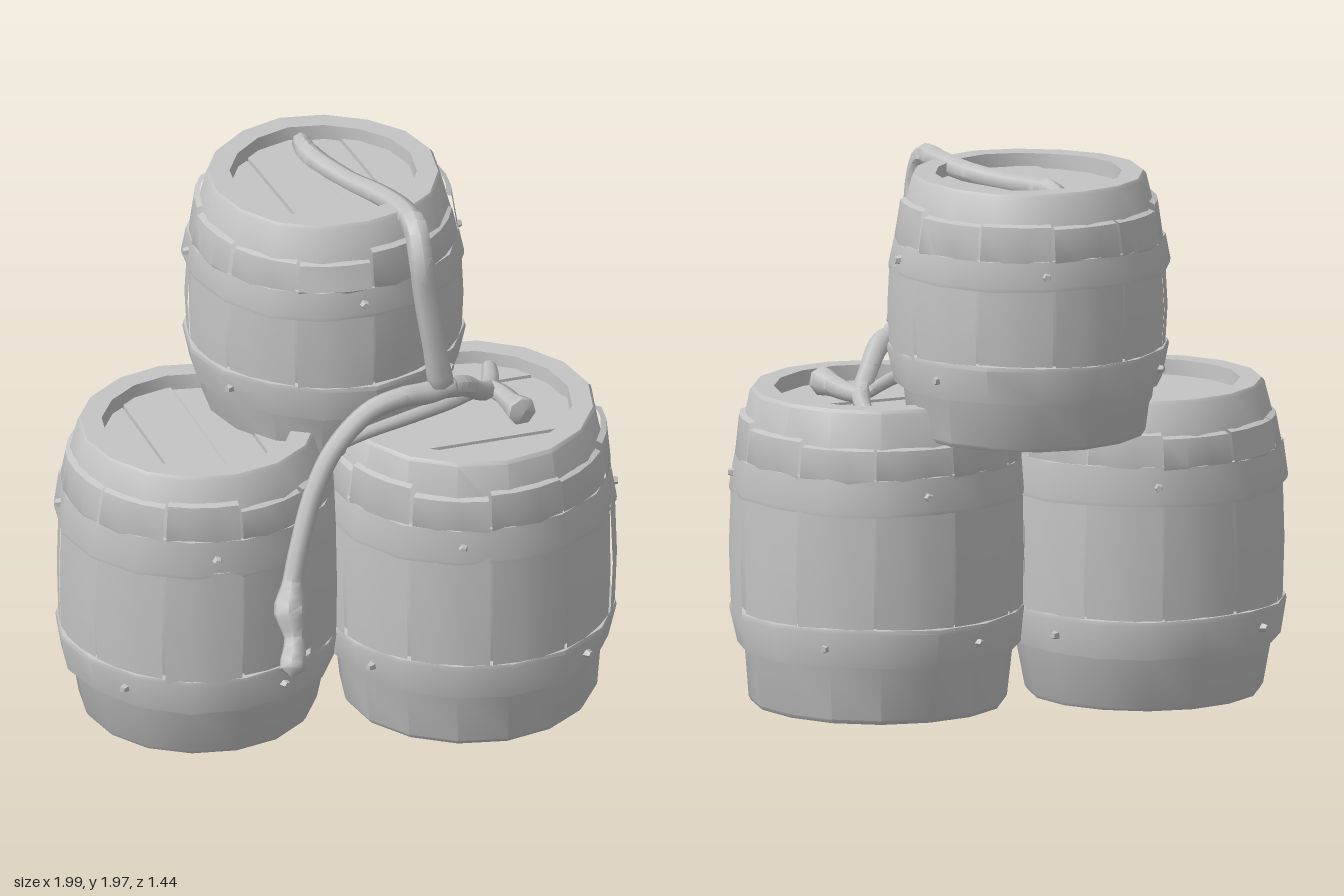
import * as THREE from 'three';
import { toCreasedNormals } from 'three/addons/utils/BufferGeometryUtils.js';

const stone = new THREE.MeshStandardMaterial({ color: 0xc4c4c4 });
stone.name = 'plain grey';

const SIDES = 16;

// seeded random numbers, so every build is identical
function seeded(seed) {
  let s = seed;
  return () => ((s = (s * 16807) % 2147483647) / 2147483647);
}

function addMesh(group, name, geometry, crease = 0.6) {
  const mesh = new THREE.Mesh(toCreasedNormals(geometry, crease), stone);
  mesh.name = name;
  group.add(mesh);
  return mesh;
}

// turned shape with a slightly hand-carved, uneven surface
function turned(profile, wobble, seed, segments = SIDES, start = 0, length = Math.PI * 2) {
  const g = new THREE.LatheGeometry(profile.map(([r, y]) => new THREE.Vector2(r, y)), segments, start, length);
  const p = g.attributes.position;
  for (let i = 0; i < p.count; i++) {
    const x = p.getX(i), y = p.getY(i), z = p.getZ(i);
    const a = Math.atan2(z, x);
    const k = 1 + wobble * (Math.sin(a * 5 + seed + y * 7) + 0.6 * Math.sin(a * 3 - seed * 2 + y * 19));
    p.setXYZ(i, x * k, y + wobble * 0.6 * Math.sin(a * 4 + seed * 3) * (y > 0.1 && y < 0.95 ? 1 : 0), z * k);
  }
  return g;
}

// lid plank: a strip of a circle, ends following the curve
function plank(radius, a, b) {
  const shape = new THREE.Shape();
  const n = 6, pts = [];
  for (let i = 0; i <= n; i++) {
    const x = a + (b - a) * i / n;
    pts.push([x, Math.sqrt(Math.max(0, radius * radius - x * x))]);
  }
  pts.forEach(([x, y], i) => (i ? shape.lineTo(x, -y) : shape.moveTo(x, -y)));
  pts.reverse().forEach(([x, y]) => shape.lineTo(x, y));
  const g = new THREE.ExtrudeGeometry(shape, { depth: 0.02, bevelEnabled: false });
  g.rotateX(-Math.PI / 2);
  return g;
}

function barrel({ name, x, y, z, h, r, rimR, footR, low, high, turn, seed }) {
  const group = new THREE.Group();
  group.name = name;
  group.position.set(x, y, z);
  group.rotation.y = turn;
  const rand = seeded(seed * 977 + 13);
  const [l0, l1] = low, [h0, h1] = high;
  const inner = rimR - 0.085, innerFoot = footR - 0.085;

  // core with hollow rims at both ends
  addMesh(group, 'core', turned([
    [innerFoot, 0.07], [innerFoot, 0], [footR - 0.01, 0], [footR, 0.015],
    [r - 0.05, l0], [r - 0.025, (l0 + l1) / 2], [r - 0.02, (l1 + h0) / 2], [r - 0.025, h1],
    [rimR, h - 0.012], [rimR - 0.01, h], [inner, h], [inner - 0.005, h - 0.07],
  ], 0.004, seed));

  // staves between the hoops, with narrow gaps and uneven depth
  const staves = 11;
  const step = Math.PI * 2 / staves;
  for (let i = 0; i < staves; i++) {
    const d = (rand() - 0.5) * 0.012, gap = 0.012 + rand() * 0.015;
    const mid = (l1 + h0) / 2;
    addMesh(group, 'stave', turned([
      [r - 0.03, l1 - 0.03], [r - 0.01 + d, l1 - 0.02], [r - 0.002 + d, mid],
      [r - 0.01 + d, h0 + 0.02], [r - 0.03, h0 + 0.03],
    ], 0.002, seed, 3, i * step, step - gap));
    // stave ends above the upper hoop
    const e = rand() * 0.006;
    const top = h1 + (h - h1) * (0.4 + rand() * 0.2);
    addMesh(group, 'staveEnd', turned([
      [r - 0.03, h1 - 0.03], [r - 0.022 + e, h1], [(r + rimR) / 2 - 0.002 + e, top], [(r + rimR) / 2 - 0.02, top + 0.008],
    ], 0.002, seed, 3, i * step, step - gap));
  }

  // hoops
  addMesh(group, 'lowerHoop', turned([
    [r - 0.05, l0 - 0.005], [r - 0.022, l0], [r + 0.004, l1 - 0.015], [r + 0.001, l1], [r - 0.03, l1 + 0.005],
  ], 0.006, seed + 1));
  addMesh(group, 'upperHoop', turned([
    [r - 0.03, h0 - 0.005], [r + 0.002, h0], [r + 0.004, h0 + 0.015], [r - 0.014, h1], [r - 0.045, h1 + 0.005],
  ], 0.006, seed + 2));

  // rivets on the hoops
  for (let i = 0; i < 8; i++) {
    const a = (i + rand() * 0.6) * Math.PI / 4;
    const yy = i % 2 ? (l0 + l1) / 2 : (h0 + h1) / 2;
    const rivet = addMesh(group, 'rivet', new THREE.CylinderGeometry(0.012, 0.02, 0.03, 5), 0.4);
    rivet.position.set(Math.cos(a) * (r - 0.008), yy, Math.sin(a) * (r - 0.008));
    rivet.rotation.set(0, -a, -Math.PI / 2, 'YXZ');
  }

  // planked lid, lying below the rim
  const cuts = [-1, -0.52, 0.05, 0.5, 1].map(c => c * (inner + 0.02) * 0.999);
  for (let i = 0; i < 4; i++) {
    const board = addMesh(group, 'lidPlank', plank(inner + 0.02, cuts[i] + 0.003, cuts[i + 1] - 0.003), 0.3);
    board.position.y = h - 0.075 + (i % 2) * 0.008;
    board.rotation.y = 0;
  }
  const backing = addMesh(group, 'lidBacking', new THREE.CylinderGeometry(inner + 0.01, inner + 0.01, 0.02, SIDES));
  backing.position.y = h - 0.08;

  // recessed bottom
  const base = addMesh(group, 'bottomBoard', new THREE.CylinderGeometry(innerFoot + 0.01, innerFoot + 0.01, 0.02, SIDES));
  base.position.y = 0.06;
  return group;
}

// branch through points [x, y, z, radius], closed by rounding off at both ends
function branch(group, name, pts) {
  const curve = new THREE.CatmullRomCurve3(pts.map(p => new THREE.Vector3(p[0], p[1], p[2])), false, 'centripetal');
  const seg = pts.length * 4, ring = 7;
  const g = new THREE.TubeGeometry(curve, seg, 1, ring);
  // arc-length position of each given point, for blending the radii
  const lengths = curve.getLengths((pts.length - 1) * 20);
  const total = lengths[lengths.length - 1];
  const at = pts.map((_, i) => lengths[i * 20] / total);
  const radius = u => {
    let i = 0;
    while (i < pts.length - 2 && u > at[i + 1]) i++;
    return THREE.MathUtils.lerp(pts[i][3], pts[i + 1][3], (u - at[i]) / (at[i + 1] - at[i]));
  };
  const p = g.attributes.position, v = new THREE.Vector3();
  for (let i = 0; i <= seg; i++) {
    const c = curve.getPointAt(i / seg);
    const k = i === 0 || i === seg ? 0.001 : radius(i / seg);
    for (let j = 0; j <= ring; j++) {
      const n = i * (ring + 1) + j;
      v.fromBufferAttribute(p, n).sub(c).multiplyScalar(k).add(c);
      p.setXYZ(n, v.x, v.y, v.z);
    }
  }
  addMesh(group, name, g, 0.9);
}

export function createModel() {
  const model = new THREE.Group();
  model.name = 'barrelStack';

  model.add(
    barrel({ name: 'rightBarrel', x: -0.487, y: 0, z: 0.045, h: 1.115, r: 0.505, rimR: 0.425, footR: 0.42,
      low: [0.2, 0.34], high: [0.75, 0.89], turn: 0.2, seed: 2 }),
    barrel({ name: 'leftBarrel', x: 0.467, y: 0, z: 0.07, h: 1.13, r: 0.523, rimR: 0.455, footR: 0.455,
      low: [0.21, 0.35], high: [0.76, 0.89], turn: 1.75, seed: 5 }),
    barrel({ name: 'topBarrel', x: -0.005, y: 1.01, z: -0.227, h: 0.925, r: 0.495, rimR: 0.415, footR: 0.425,
      low: [0.18, 0.315], high: [0.59, 0.695], turn: 0.25, seed: 9 }),
  );

  // vine creeping over the barrels
  const vine = new THREE.Group();
  vine.name = 'vine';
  model.add(vine);
  branch(vine, 'mainStem', [
    [-0.05, 1.9, -0.55, 0.03], [-0.03, 1.905, -0.4, 0.04], [0.08, 1.9, -0.21, 0.036], [0.18, 1.91, -0.06, 0.04],
    [0.245, 1.925, 0.1, 0.04], [0.265, 1.915, 0.21, 0.045], [0.275, 1.83, 0.27, 0.045], [0.29, 1.68, 0.272, 0.043],
    [0.325, 1.46, 0.262, 0.043], [0.355, 1.28, 0.235, 0.05],
  ]);
  branch(vine, 'hangingStem', [
    [0.42, 1.29, 0.21, 0.035], [0.3, 1.28, 0.25, 0.042], [0.2, 1.29, 0.29, 0.038], [0.08, 1.26, 0.325, 0.037],
    [-0.05, 1.15, 0.38, 0.036], [-0.13, 1.01, 0.43, 0.036], [-0.19, 0.83, 0.49, 0.035], [-0.22, 0.7, 0.53, 0.038],
    [-0.235, 0.62, 0.57, 0.062], [-0.225, 0.53, 0.62, 0.036], [-0.24, 0.45, 0.675, 0.05], [-0.245, 0.42, 0.7, 0.035],
  ]);
  branch(vine, 'lidStem', [
    [0.34, 1.29, 0.24, 0.04], [0.43, 1.26, 0.18, 0.04], [0.5, 1.18, 0.08, 0.035], [0.55, 1.125, -0.02, 0.035],
    [0.575, 1.11, -0.13, 0.032], [0.585, 1.1, -0.25, 0.025],
  ]);
  branch(vine, 'lidShoot', [
    [0.55, 1.12, -0.06, 0.03], [0.595, 1.125, 0.02, 0.035], [0.62, 1.13, 0.1, 0.04], [0.645, 1.135, 0.17, 0.055], [0.65, 1.135, 0.19, 0.045],
  ]);
  branch(vine, 'lowerTendril', [
    [-0.1, 1.12, 0.36, 0.02], [0.06, 1.15, 0.29, 0.022], [0.25, 1.16, 0.2, 0.025], [0.4, 1.15, 0.1, 0.025], [0.55, 1.12, -0.05, 0.02],
  ]);
  return model;
}
